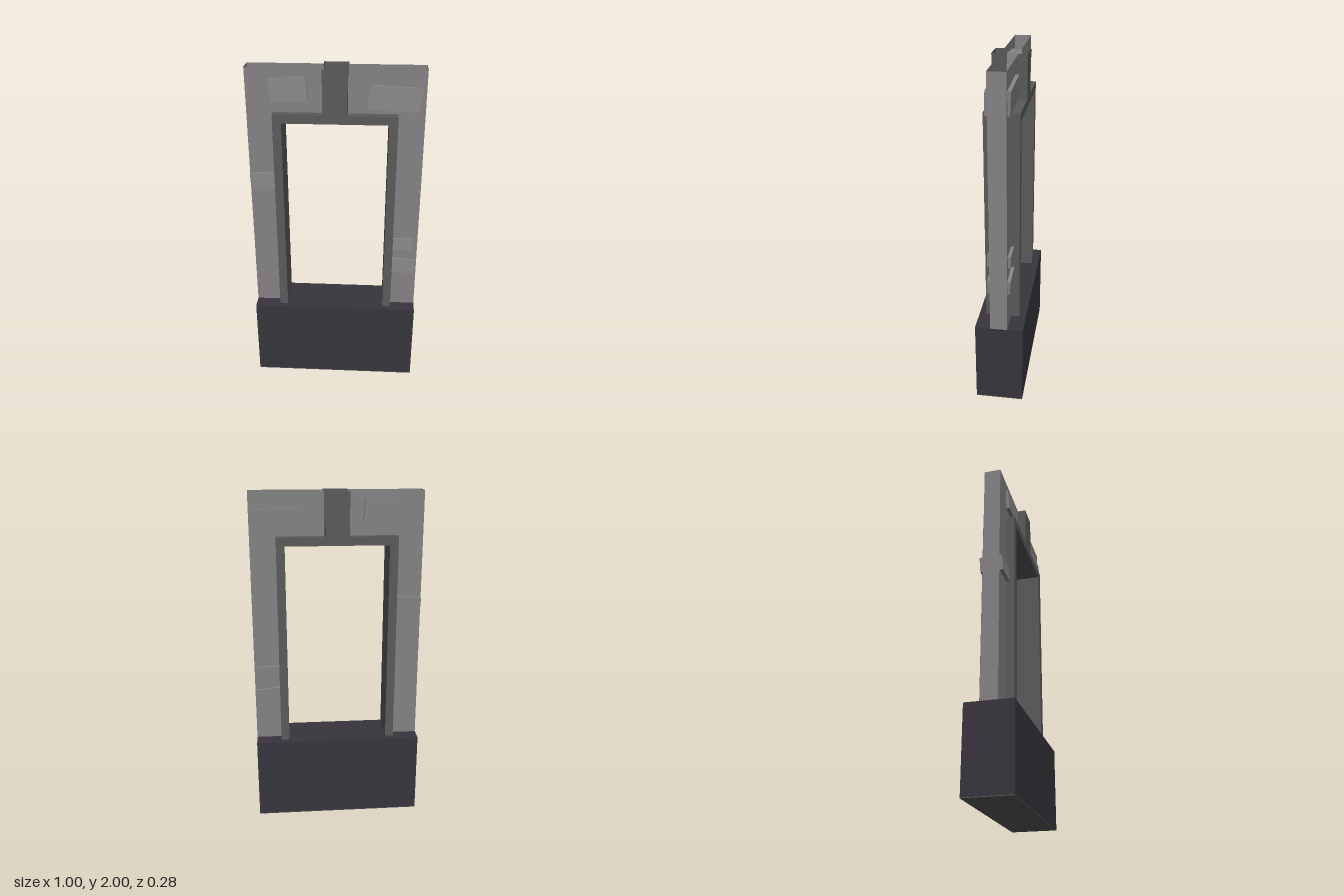
import * as THREE from 'three';

const mat = (name, color) => new THREE.MeshStandardMaterial({ name, color, side: THREE.DoubleSide });

export function createModel() {
  const group = new THREE.Group();
  const wallGrey = mat('wallGrey', 0x848284);
  const brickGrey = mat('brickGrey', 0x888589);
  const trimGrey = mat('trimGrey', 0x5a5a5a);
  const baseDark = mat('baseDark', 0x37353c);

  const add = (name, geometry, material) => {
    const mesh = new THREE.Mesh(geometry, material);
    mesh.name = name;
    group.add(mesh);
    return mesh;
  };

  const shapeOf = pts => new THREE.Shape(pts.map(p => new THREE.Vector2(p[0], p[1])));

  // Flat sheet at a depth, facing +z or -z
  const sheet = (name, pts, z, material) => {
    const geometry = new THREE.ShapeGeometry(shapeOf(pts));
    if (z < 0) geometry.rotateY(Math.PI);
    geometry.translate(0, 0, z);
    add(name, geometry, material);
  };

  // Open strip that follows a 2D path between two depths
  const ribbon = (name, pts, z0, z1, material) => {
    const v = [];
    for (let i = 0; i < pts.length - 1; i++) {
      const [a, b] = pts[i], [c, d] = pts[i + 1];
      v.push(a, b, z0, c, d, z1, c, d, z0, a, b, z0, a, b, z1, c, d, z1);
    }
    const geometry = new THREE.BufferGeometry();
    geometry.setAttribute('position', new THREE.Float32BufferAttribute(v, 3));
    geometry.computeVertexNormals();
    add(name, geometry, material);
  };

  // Base block with a grey underside
  add('base', new THREE.BoxGeometry(1, 0.496, 0.28), baseDark).position.y = 0.252;
  add('baseUnderside', new THREE.BoxGeometry(1, 0.004, 0.28), trimGrey).position.y = 0.002;

  // Hollow wall, open on top; the sheets mirror across both axes
  const wall = [[0.5, 0.5], [0.5, 2], [0.07, 2], [0.07, 1.75], [0.35, 1.75], [0.35, 0.5]];
  const mirrorX = pts => pts.map(([x, y]) => [-x, y]);
  for (const z of [0.05, -0.05]) {
    sheet('wallLeft', wall, z, wallGrey);
    sheet('wallRight', mirrorX(wall), z, wallGrey);
  }
  ribbon('wallEndLeft', [[0.5, 2], [0.5, 0.5]], -0.05, 0.05, wallGrey);
  ribbon('wallEndRight', [[-0.5, 0.5], [-0.5, 2]], -0.05, 0.05, wallGrey);

  // Door trim with the keystone, open on top
  const outer = [[0.35, 0.5], [0.35, 1.75], [0.07, 1.75], [0.07, 2],
    [-0.07, 2], [-0.07, 1.75], [-0.35, 1.75], [-0.35, 0.5]];
  const inner = [[-0.3, 0.5], [-0.3, 1.7], [0.3, 1.7], [0.3, 0.5]];
  for (const s of [1, -1]) {
    sheet('trimFace', [...outer, ...inner], s * 0.1, trimGrey);
    const z0 = s > 0 ? 0.05 : -0.1;
    ribbon('trimEdgeLeft', outer.slice(0, 4).reverse(), z0, z0 + 0.05, trimGrey);
    ribbon('trimEdgeRight', outer.slice(4).reverse(), z0, z0 + 0.05, trimGrey);
  }
  ribbon('doorwayLining', [...inner].reverse(), -0.1, 0.1, trimGrey);

  // Crooked bricks that stick out on both faces of the wall
  const bricks = [
    [[-0.36, 1.81], [-0.15, 1.82], [-0.16, 1.955], [-0.37, 1.94]],
    [[0.175, 1.78], [0.465, 1.765], [0.48, 1.9], [0.19, 1.915]],
    [[-0.495, 1.285], [-0.35, 1.29], [-0.35, 1.39], [-0.5, 1.38]],
    [[0.35, 0.895], [0.465, 0.89], [0.475, 0.97], [0.35, 0.97]],
    [[0.35, 0.74], [0.485, 0.73], [0.495, 0.82], [0.35, 0.835]],
  ];
  for (const pts of bricks) {
    const geometry = new THREE.ExtrudeGeometry(shapeOf(pts), { depth: 0.134, bevelEnabled: false });
    geometry.translate(0, 0, -0.067);
    // Lean each brick slightly backward
    const midY = (pts[0][1] + pts[2][1]) / 2;
    const p = geometry.attributes.position;
    for (let i = 0; i < p.count; i++) p.setZ(i, p.getZ(i) - (p.getY(i) - midY) * 0.06);
    geometry.computeVertexNormals();
    add('brick', geometry, brickGrey);
  }

  return group;
}
